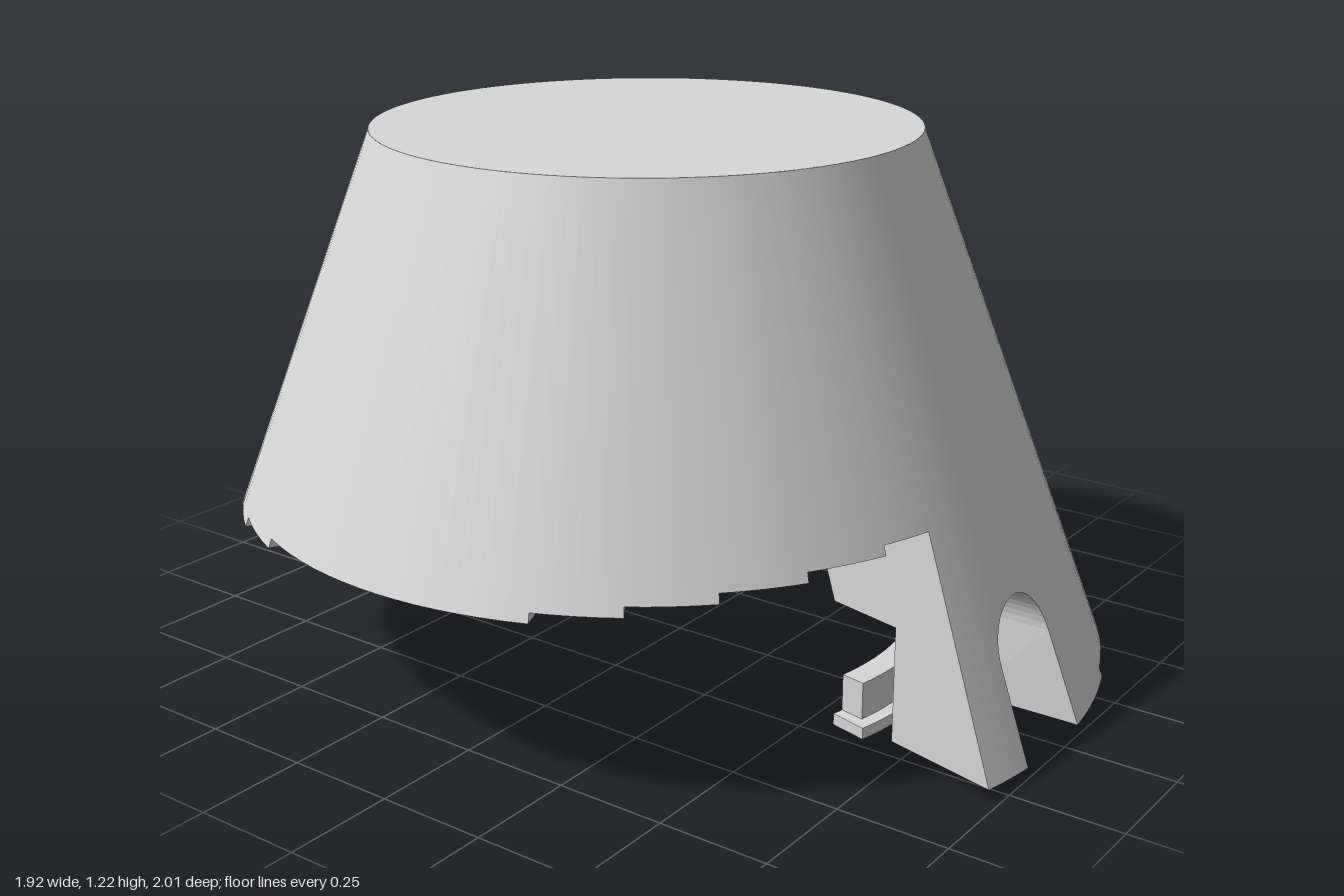
import * as THREE from 'three';

const RAD = Math.PI / 180;
const CX = -0.055, CZ = -0.05;            // tower axis
const TOP = 1.22, TOP_R = 0.605, FLARE = 0.378, THICK = 0.345;
const BASE = 0.026, RISE = 0.0198;        // lowest edge and height of each step
const START = -13.3, DOOR_HALF = 0.11, DOOR_SPRING = 0.228;
const POCKET_R = 0.79, POCKET_TOP = 0.285, POCKET_END = 13.6;

const outerR = (y) => TOP_R + FLARE * (TOP - y);
const innerR = (y) => outerR(y) - THICK;

// Columns of the wall: outer and inner angle (radians), height of the lower edge,
// inner radius there, and the height where the sloping inner wall begins
function wallColumns() {
  const cols = [];
  const plain = (o, i, y) => cols.push({ o, i, y, lowR: innerR(y), cap: y });
  const pocket = (o, i, y) => cols.push({ o, i, y, lowR: POCKET_R, cap: POCKET_TOP });
  const span = (add, o0, i0, o1, i1, y, n) => {
    for (let k = 0; k <= n; k++) add(o0 + (o1 - o0) * k / n, i0 + (i1 - i0) * k / n, y);
  };
  const doorO = Math.asin(DOOR_HALF / 1.01), doorI = Math.asin(DOOR_HALF / POCKET_R);
  const start = START * RAD, end = POCKET_END * RAD;

  // lowest step with the arched doorway, opening into a wider pocket behind it
  span(pocket, start, start, -doorO, -doorI, BASE, 3);
  const arcs = 24;
  for (let k = 0; k <= arcs; k++) {
    const t = Math.PI * (1 - k / arcs), dx = DOOR_HALF * Math.cos(t);
    pocket(Math.asin(dx / 1.01), Math.asin(dx / POCKET_R), DOOR_SPRING + DOOR_HALF * Math.sin(t));
  }
  span(pocket, doorO, doorI, end, end, BASE, 3);
  span(plain, end, end, 20 * RAD, 20 * RAD, BASE, 3);

  // spiral of steps, a long landing, then the last steps
  const edges = [];
  for (let k = 0; k < 20; k++) edges.push(20 + 11.92 * k);
  for (let k = 0; k < 5; k++) edges.push(292.5 + 11.6 * k);
  edges.push(360 + START);
  for (let k = 0; k < 25; k++) {
    const a = edges[k] * RAD, b = edges[k + 1] * RAD;
    span(plain, a, a, b, b, BASE + RISE * (k + 1), Math.max(4, Math.round((b - a) / RAD / 3)));
  }
  // tall end face, notched by the pocket
  pocket(start, start, POCKET_TOP);
  cols.push(cols[0]);
  return cols;
}

const polar = (r, a, y) => [r * Math.sin(a), y, r * Math.cos(a)];

// Builds quads between neighbouring columns from the rail "first" to the rail "second";
// slope gives smooth cone normals, without it the faces stay flat
function strip(cols, first, second, slope, facing = 1) {
  const pos = [], nor = [];
  for (let k = 0; k < cols.length - 1; k++) {
    const a = cols[k], b = cols[k + 1];
    const q = [first(a), second(a), second(b), first(b)];
    for (const j of [0, 1, 2, 0, 2, 3]) {
      const [x, y, z] = q[j], r = Math.hypot(x, z), l = facing * Math.hypot(1, FLARE);
      pos.push(x, y, z);
      nor.push(x / r / l, FLARE / l, z / r / l);
    }
  }
  const g = new THREE.BufferGeometry();
  g.setAttribute('position', new THREE.Float32BufferAttribute(pos, 3));
  if (slope) g.setAttribute('normal', new THREE.Float32BufferAttribute(nor, 3));
  else g.computeVertexNormals();
  return g;
}

// Curved block centred on the front of the tower
function arcBlock(r0, r1, halfDeg, y0, y1) {
  const h = halfDeg * RAD, mid = -Math.PI / 2;
  const s = new THREE.Shape();
  s.absarc(0, 0, r1, mid - h, mid + h, false);
  s.absarc(0, 0, r0, mid + h, mid - h, true);
  s.closePath();
  const g = new THREE.ExtrudeGeometry(s, { depth: y1 - y0, bevelEnabled: false, curveSegments: 12 });
  return g.rotateX(-Math.PI / 2).translate(0, y0, 0);
}

export function createModel() {
  const model = new THREE.Group();
  model.name = 'spiralTower';
  const stone = new THREE.MeshStandardMaterial({ color: 0xd8d8d8, side: THREE.DoubleSide });
  stone.name = 'lightGreyStone';

  const add = (name, geometry) => {
    const m = new THREE.Mesh(geometry, stone);
    m.name = name;
    m.position.set(CX, 0, CZ);
    model.add(m);
  };

  // rails of the wall's cross-section, from the outer top round to the inner top
  const cols = wallColumns();
  const outerTop = (c) => polar(TOP_R, c.o, TOP);
  const outerLow = (c) => polar(outerR(c.y), c.o, c.y);
  const innerLow = (c) => polar(c.lowR, c.i, c.y);
  const pocketTop = (c) => polar(c.lowR, c.i, c.cap);
  const innerCap = (c) => polar(innerR(c.cap), c.i, c.cap);
  const innerTop = (c) => polar(innerR(TOP), c.i, TOP);

  add('outerWall', strip(cols, outerTop, outerLow, true));
  add('stepUndersides', strip(cols, outerLow, innerLow, false));
  add('pocketWall', strip(cols, innerLow, pocketTop, false));
  add('pocketCeiling', strip(cols, pocketTop, innerCap, false));
  add('innerWall', strip(cols, innerCap, innerTop, true, -1));

  // flat roof
  add('roof', new THREE.CircleGeometry(TOP_R, 96).rotateX(-Math.PI / 2).translate(0, TOP, 0));

  // threshold and raised sill behind the doorway
  add('threshold', arcBlock(0.622, 0.71, 13.6, 0, BASE));
  add('doorSill', arcBlock(0.622, 0.68, 11.2, BASE, 0.11));

  return model;
}
